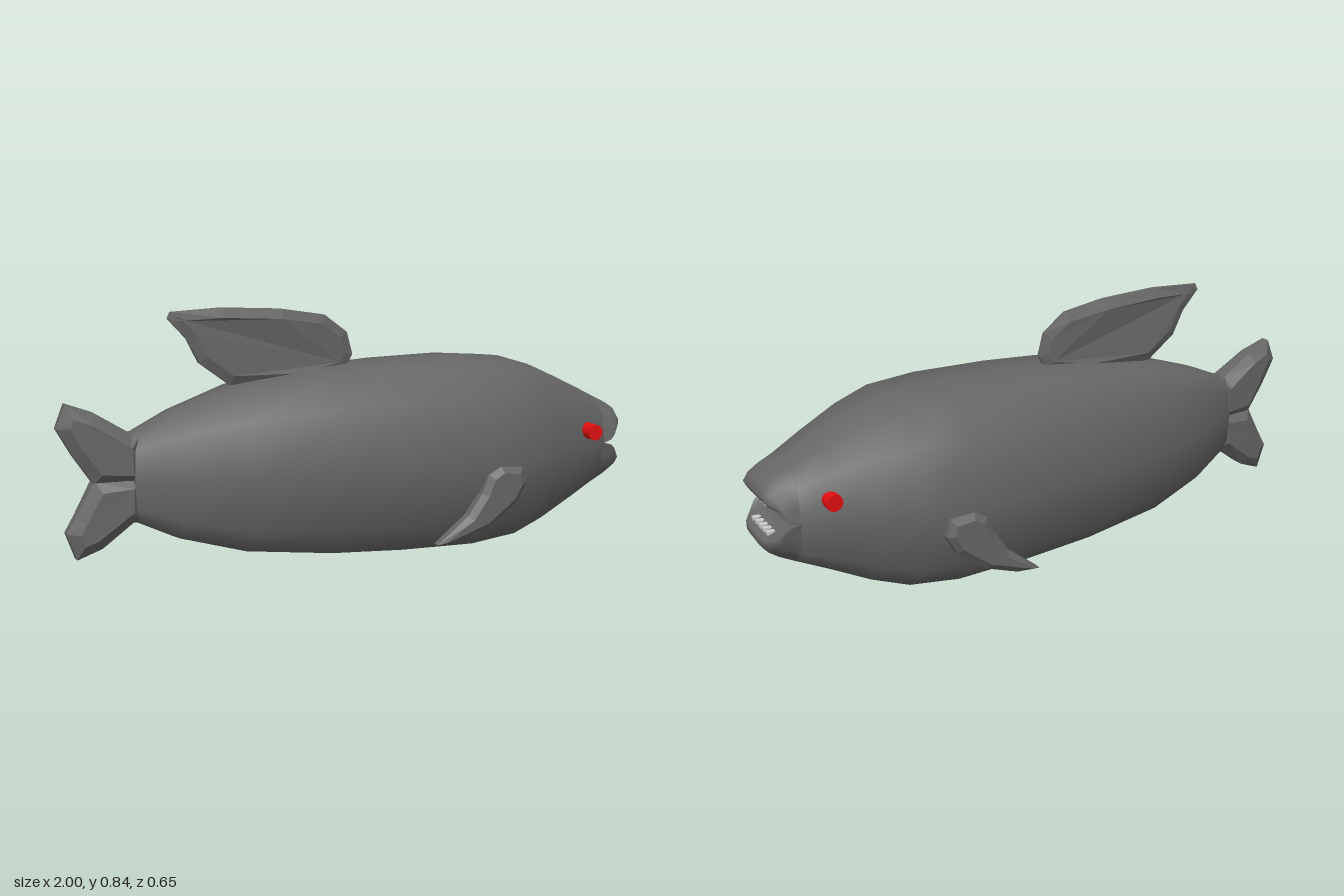
import * as THREE from 'three';

const material = (color, extra = {}) => new THREE.MeshStandardMaterial({ color, ...extra });

// Twelve-sided cross-section, as [sideways, up] unit factors
const quarter = [[0, 1], [0.49, 0.955], [0.855, 0.66], [1, 0]];
const half = [...quarter, ...quarter.slice(0, 3).reverse().map(([s, u]) => [s, -u])];
const ring = [...half, ...half.slice(1, 6).reverse().map(([s, u]) => [-s, u])];

// Body stations: x, top, bottom, half width, sideways shift
const stations = [
  [-0.77, 0.47, 0.19, 0.065, 0.03], [-0.63, 0.53, 0.12, 0.13, 0.022],
  [-0.42, 0.595, 0.06, 0.212, 0.016], [-0.13, 0.635, 0.025, 0.27, 0.01],
  [0.12, 0.647, 0.01, 0.297, 0.005], [0.38, 0.649, 0.003, 0.31, 0],
  [0.55, 0.635, 0.02, 0.293, 0], [0.67, 0.598, 0.06, 0.247, 0],
  [0.8, 0.535, 0.12, 0.195, 0.003], [0.9, 0.485, 0.165, 0.155, 0],
];

// Smooth surface through rows of points
function loft(rows, closed) {
  const n = rows[0].length, index = [];
  for (let i = 0; i < rows.length - 1; i++) {
    for (let j = 0; j < (closed ? n : n - 1); j++) {
      const k = (j + 1) % n, a = i * n, b = a + n;
      index.push(a + j, a + k, b + j, a + k, b + k, b + j);
    }
  }
  const geo = new THREE.BufferGeometry();
  geo.setAttribute('position', new THREE.Float32BufferAttribute(rows.flat(2), 3));
  geo.setIndex(index);
  geo.computeVertexNormals();
  return geo;
}

const section = ([x, top, bottom, width, shift], scale = 1) => ring.map(([s, u]) =>
  [x, (top + bottom) / 2 + u * scale * (top - bottom) / 2, shift + s * scale * width]);

// Height factor of the cross-section at a sideways factor
function heightAt(s) {
  for (let i = 0; i < 3; i++) {
    const [s0, u0] = quarter[i], [s1, u1] = quarter[i + 1];
    if (s <= s1) return u0 + (u1 - u0) * (s - s0) / (s1 - s0);
  }
  return 0;
}

// Lips and mouth hollow: a profile carried across the snout
function snoutGeometry() {
  const upper = [[0, 1], [0.05, 0.84], [0.085, 0.69], [0.1, 0.53], [0.094, 0.42],
    [0.065, 0.36], [0.035, 0.27], [0.015, 0.14], [0.01, 0]];
  const profile = [...upper, ...upper.slice(0, 8).reverse().map(([x, u]) => [x, -u])];
  const side = [1, 0.97, 0.93, 0.855, 0.67, 0.49, 0.25];
  const columns = [...side, 0, ...side.slice().reverse().map((s) => -s)];
  return loft(columns.map((s) => {
    const reach = Math.sqrt(1 - s ** 4), h = heightAt(Math.abs(s));
    return profile.map(([x, u]) => [0.9 + x * reach, 0.325 + 0.16 * u * h, 0.155 * s]);
  }), false);
}

// Bevelled fin; thickness varies along x by the taper rule
function finGeometry(outline, z, thick, bevel, taper = () => 1) {
  const shape = new THREE.Shape(outline.map(([x, y]) => new THREE.Vector2(x, y)));
  const geo = new THREE.ExtrudeGeometry(shape, {
    depth: thick * 0.9, bevelEnabled: true, bevelThickness: thick * 0.55,
    bevelSize: bevel, bevelOffset: -bevel, bevelSegments: 1,
  });
  geo.translate(0, 0, -thick * 0.45);
  const p = geo.attributes.position;
  for (let i = 0; i < p.count; i++) p.setZ(i, z + p.getZ(i) * taper(p.getX(i)));
  geo.computeVertexNormals();
  return geo;
}

export function createModel() {
  const model = new THREE.Group();
  const skin = material(0x666666, { side: THREE.DoubleSide });
  const finSkin = material(0x666666, { flatShading: true });
  const red = material(0xe01010);
  const white = material(0xcccccc);
  const add = (name, geo, mat) => {
    const mesh = new THREE.Mesh(geo, mat);
    mesh.name = name;
    model.add(mesh);
    return mesh;
  };

  // Body, its tail end and the mouth
  add('body', loft(stations.map((s) => section(s)), true), skin);
  add('bodyEnd', loft([section(stations[0], 0.001), section(stations[0])], true), skin);
  add('snout', snoutGeometry(), skin);

  // Dorsal fin, thinning to both ends
  add('dorsalFin', finGeometry([
    [-0.63, 0.815], [-0.57, 0.75], [-0.53, 0.67], [-0.43, 0.595], [-0.2, 0.59],
    [-0.03, 0.62], [0, 0.67], [-0.02, 0.745], [-0.1, 0.805], [-0.25, 0.83],
    [-0.45, 0.842], [-0.62, 0.836],
  ], 0, 0.03, 0.03, (x) => 1 - 0.75 * ((x + 0.3) / 0.33) ** 2), finSkin);

  // Forked tail, thicker at the root
  const tailTaper = (x) => 0.5 + 0.5 * Math.min(1, (x + 1) / 0.2);
  add('upperTailFin', finGeometry([
    [-0.74, 0.31], [-0.74, 0.47], [-0.77, 0.47], [-0.88, 0.54], [-0.97, 0.575],
    [-1, 0.5], [-0.95, 0.41], [-0.89, 0.32],
  ], 0.035, 0.062, 0.035, tailTaper), finSkin);
  add('lowerTailFin', finGeometry([
    [-0.74, 0.34], [-0.89, 0.33], [-0.95, 0.22], [-0.98, 0.17], [-0.95, 0.085],
    [-0.87, 0.115], [-0.77, 0.19], [-0.74, 0.19],
  ], 0.035, 0.062, 0.035, tailTaper), finSkin);

  // Pectoral fins
  const pectoral = [
    [0.17, 0.073], [0.25, 0.078], [0.36, 0.115], [0.46, 0.19], [0.495, 0.25],
    [0.48, 0.305], [0.4, 0.315], [0.355, 0.29], [0.33, 0.23], [0.28, 0.16],
  ];
  for (const side of [1, -1]) {
    add(side > 0 ? 'rightPectoralFin' : 'leftPectoralFin',
      finGeometry(pectoral, side * 0.295, 0.03, 0.02), finSkin);
  }

  // Eyes
  for (const [name, y, z0, z1] of [['rightEye', 0.382, 0.16, 0.235], ['leftEye', 0.392, -0.203, -0.14]]) {
    const eye = add(name, new THREE.CylinderGeometry(0.027, 0.027, z1 - z0, 20), red);
    eye.rotation.x = Math.PI / 2;
    eye.position.set(0.81, y, (z0 + z1) / 2);
  }

  // Two rows of teeth
  for (const y of [0.374, 0.266]) {
    for (let i = -2; i <= 2; i++) {
      add(y > 0.3 ? 'upperTooth' : 'lowerTooth', new THREE.BoxGeometry(0.025, 0.022, 0.018), white)
        .position.set(0.963, y, 0.016 + i * 0.032);
    }
  }
  return model;
}
